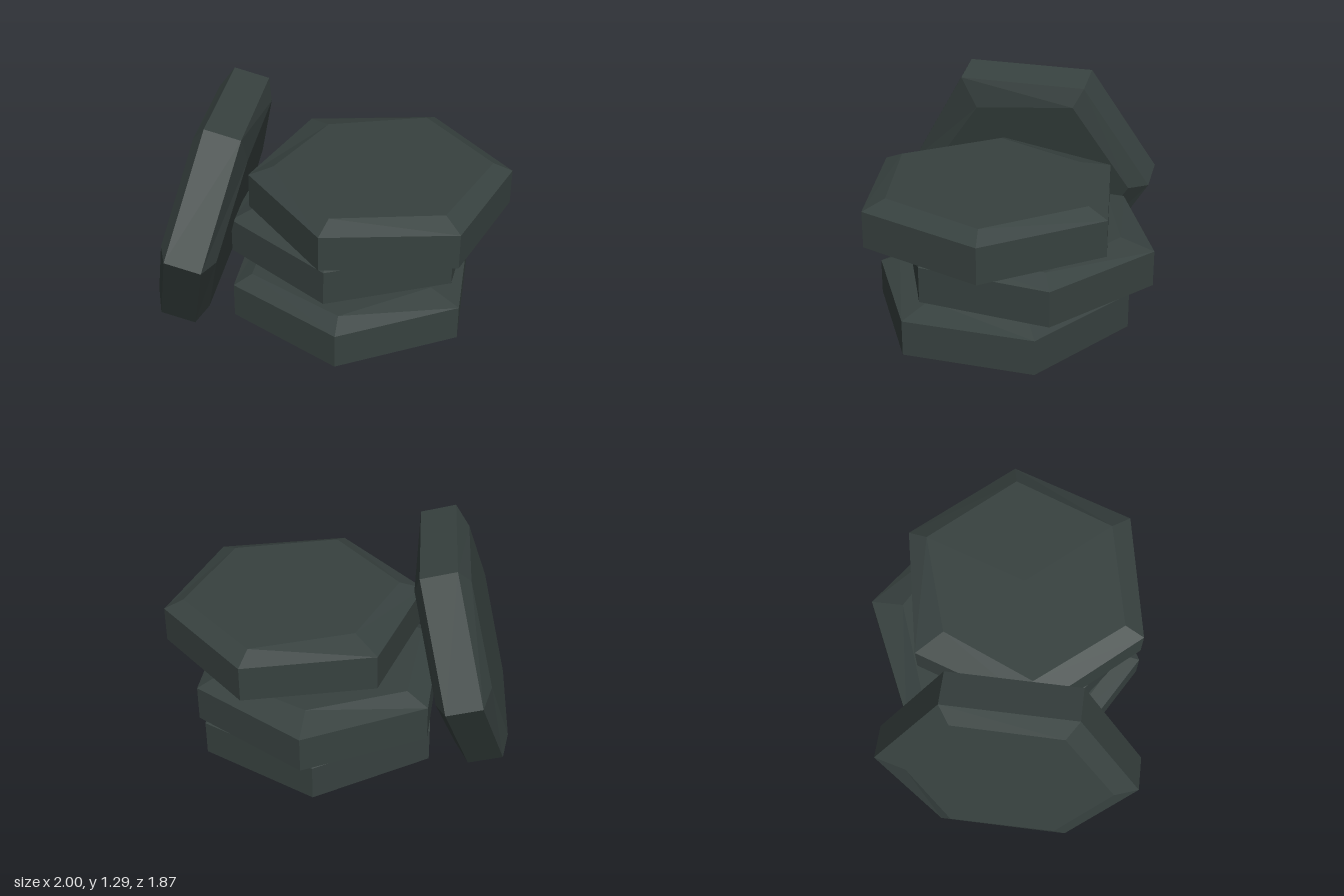
import * as THREE from 'three';

const RADIUS = 0.74;
const SIDES = 6;

// Hexagonal slab with slightly uneven chamfers, axis along y
function slabGeometry() {
  const full = Array(SIDES).fill(1);
  const centre = Array(SIDES).fill(0);
  const bottom = [0.75, 0.83, 0.82, 0.82, 0.82, 0.83];
  const top = [0.85, 0.82, 0.84, 0.81, 0.74, 0.84];
  const rings = [
    [-0.155, centre], [-0.155, bottom], [-0.103, full],
    [0.103, full], [0.155, top], [0.155, centre],
  ];
  const point = ([y, scale], i) => {
    const k = i % SIDES;
    const a = (k * Math.PI * 2) / SIDES;
    return [Math.cos(a) * RADIUS * scale[k], y, Math.sin(a) * RADIUS * scale[k]];
  };
  const positions = [];
  for (let r = 0; r < rings.length - 1; r++) {
    const lower = rings[r], upper = rings[r + 1];
    for (let i = 0; i < SIDES; i++) {
      const a = point(lower, i), b = point(upper, i);
      const c = point(upper, i + 1), d = point(lower, i + 1);
      if (upper[1] !== centre) positions.push(...a, ...b, ...c);
      if (lower[1] !== centre) positions.push(...a, ...c, ...d);
    }
  }
  const geometry = new THREE.BufferGeometry();
  geometry.setAttribute('position', new THREE.Float32BufferAttribute(positions, 3));
  geometry.computeVertexNormals();
  return geometry;
}

export function createModel() {
  const group = new THREE.Group();
  group.name = 'hexagonalSlabs';
  const stone = new THREE.MeshStandardMaterial({ color: 0x37413f, flatShading: true });
  stone.name = 'dark grey green';
  const geometry = slabGeometry();

  const addSlab = (name, x, y, z) => {
    const mesh = new THREE.Mesh(geometry, stone);
    mesh.name = name;
    mesh.position.set(x, y, z);
    group.add(mesh);
    return mesh;
  };

  // Stack of three flat slabs, each turned differently
  const stack = [
    ['bottomSlab', 0.18, 0.168, 0.12, 180],
    ['middleSlab', 0.235, 0.477, -0.012, 65.3],
    ['topSlab', 0.295, 0.785, 0.205, 18.7],
  ];
  for (const [name, x, y, z, turn] of stack) {
    addSlab(name, x, y, z).rotation.y = -THREE.MathUtils.degToRad(turn);
  }

  // Slab standing on edge and leaning back beside the stack
  const leaning = addSlab('leaningSlab', -0.545, 0.653, -0.25);
  const across = new THREE.Vector3(0.5, 0, -0.866).normalize();
  const axis = new THREE.Vector3(0.84, -0.245, 0.485).normalize();
  const down = new THREE.Vector3().crossVectors(across, axis).normalize();
  leaning.quaternion.setFromRotationMatrix(new THREE.Matrix4().makeBasis(across, axis, down));

  return group;
}
